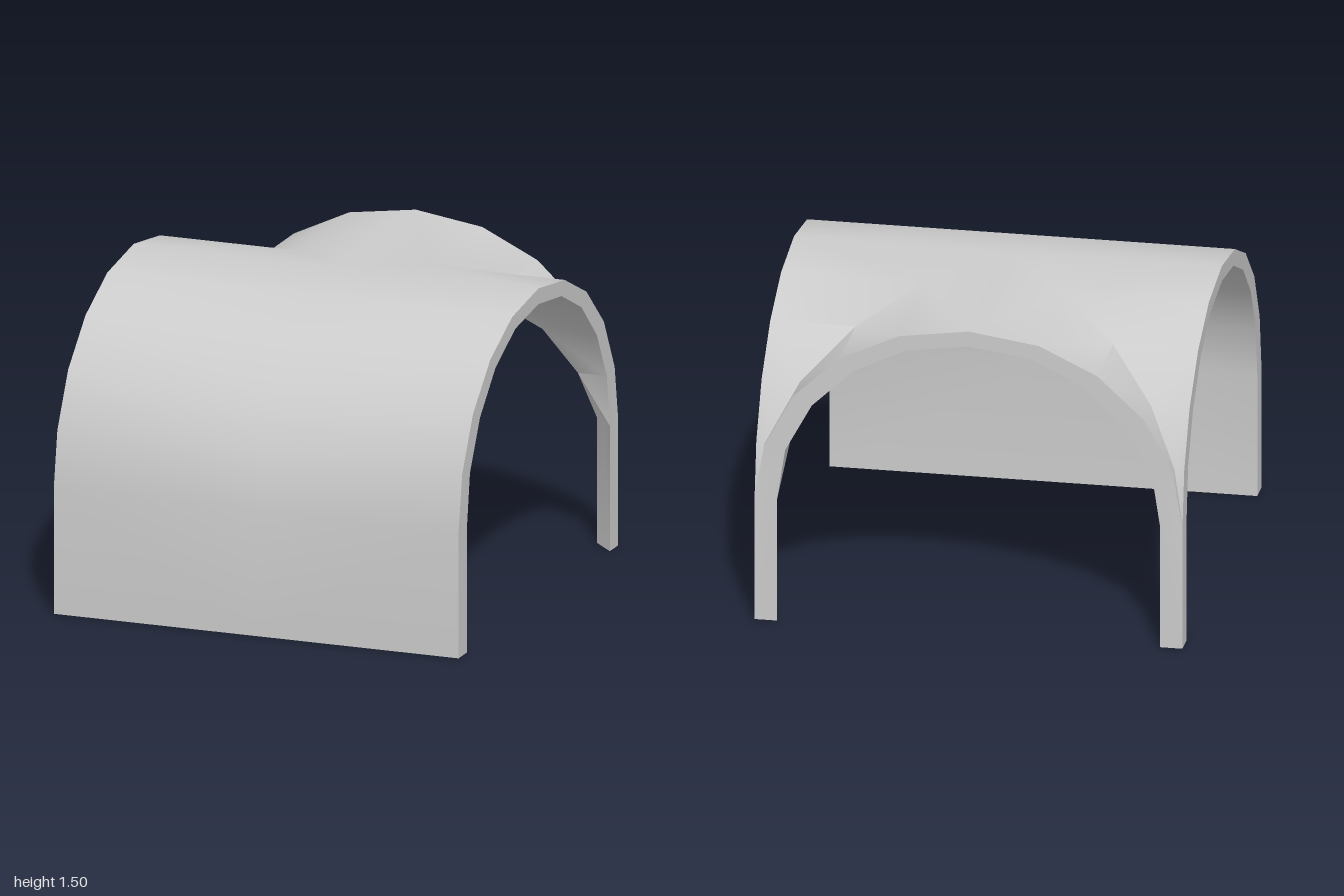
import * as THREE from 'three';
import { toCreasedNormals } from 'three/addons/utils/BufferGeometryUtils.js';

// Arch profiles from foot to crown: [distance from the arch axis, height]
const OUTER = [[1, 0], [1, 0.6], [0.955, 0.867], [0.82, 1.12], [0.602, 1.322], [0.329, 1.452], [0, 1.5]];
const INNER = [[0.895, 0], [0.895, 0.6], [0.857, 0.849], [0.732, 1.079], [0.538, 1.265], [0.29, 1.385], [0, 1.425]];

// One piece of vault shell. u runs along the arch axis out to the open end at 1,
// v runs across it. A groined piece stops at the diagonal u = v, otherwise at u = 0.
function vaultPiece(place, flip, groined) {
  const positions = [];
  const tri = (a, b, c) => {
    const [p, q, r] = [a, b, c].map((k) => new THREE.Vector3(...place(...k)));
    const area = q.clone().sub(p).cross(r.clone().sub(p)).length();
    if (area < 1e-7) return;
    for (const k of flip ? [p, r, q] : [p, q, r]) positions.push(k.x, k.y, k.z);
  };
  const quad = (a, b, c, d) => { tri(a, b, c); tri(a, c, d); };

  const end = ([v, y]) => [1, y, v];
  const outerSeam = (i) => [groined ? OUTER[i][0] : 0, OUTER[i][1], OUTER[i][0]];
  // The corner posts are triangular, so their inner face meets halfway on the diagonal
  const innerSeam = (i) => {
    const [v, y] = INNER[i];
    if (!groined) return [0, y, v];
    const d = i < 2 ? (1 + v) / 2 : v;
    return [d, y, d];
  };

  for (let i = 0; i < OUTER.length - 1; i++) {
    const j = i + 1;
    const [o0, o1, n0, n1] = [end(OUTER[i]), end(OUTER[j]), end(INNER[i]), end(INNER[j])];
    quad(outerSeam(i), o0, o1, outerSeam(j)); // outside
    quad(n0, innerSeam(i), innerSeam(j), n1); // underside
    quad(o0, n0, n1, o1);                     // open arch end
  }
  // Foot
  quad(innerSeam(0), end(INNER[0]), end(OUTER[0]), outerSeam(0));
  return positions;
}

export function createModel() {
  const group = new THREE.Group();
  group.name = 'groinVault';
  const positions = [];
  for (const s of [1, -1]) {
    // Front half of the barrel with its wall
    positions.push(...vaultPiece((u, y, v) => [s * u, y, v], s < 0, false));
    // Rear half of the barrel, cut by the diagonal groin
    positions.push(...vaultPiece((u, y, v) => [s * u, y, -v], s > 0, true));
    // Crossing vault that opens to the back
    positions.push(...vaultPiece((u, y, v) => [s * v, y, -u], s < 0, true));
  }
  const geometry = new THREE.BufferGeometry();
  geometry.setAttribute('position', new THREE.Float32BufferAttribute(positions, 3));
  const shell = new THREE.Mesh(
    toCreasedNormals(geometry, 0.75),
    new THREE.MeshStandardMaterial({ color: 0xcccccc }),
  );
  shell.name = 'vaultShell';
  group.add(shell);
  return group;
}
